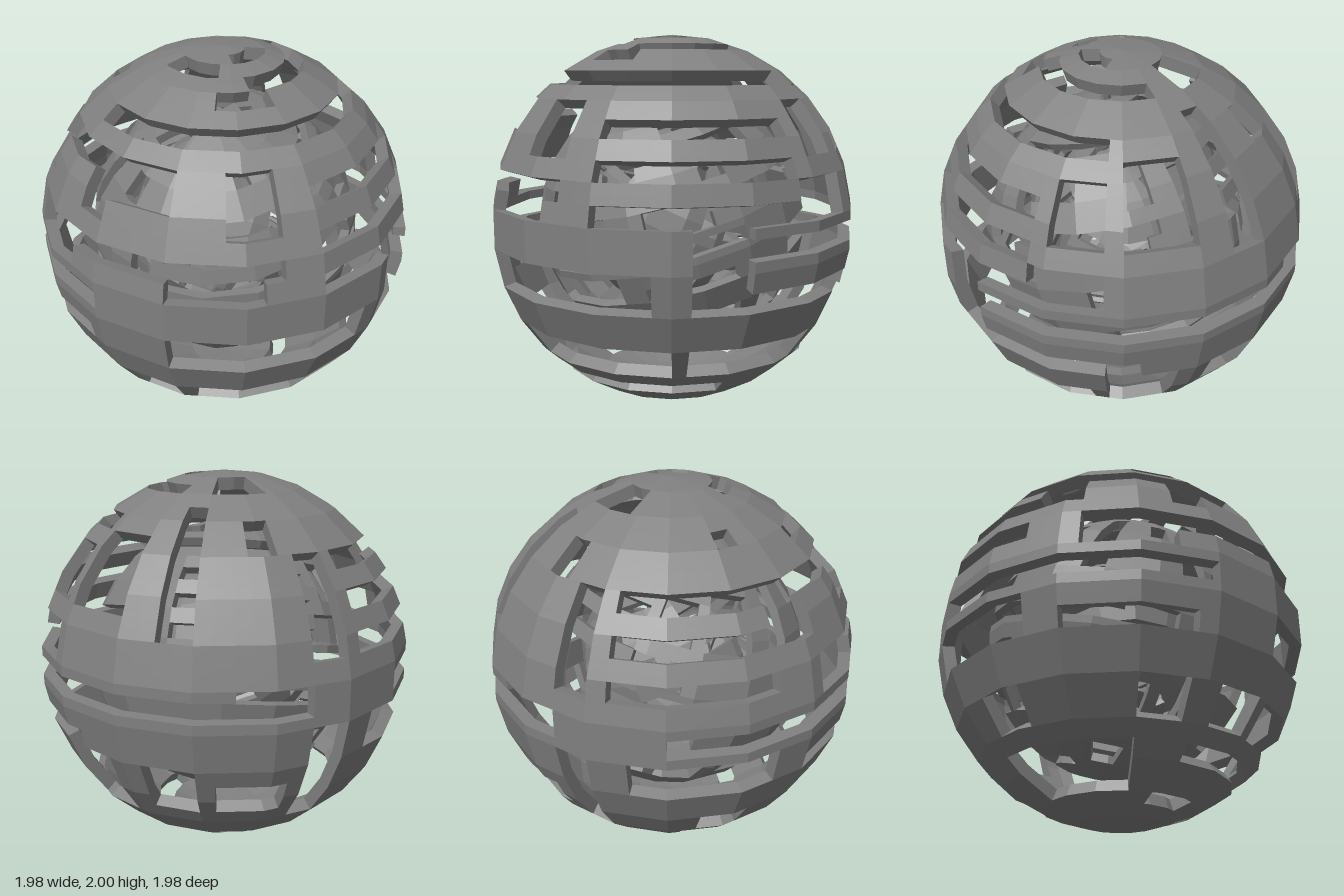
import * as THREE from 'three';

const SIDES = 16, TURN = -5.9, STEP = 360 / SIDES; // facets around the sphere
const BAND = 12;                                   // facet height in degrees of latitude
const ROWS = 60, COLS = 64;                        // carving grid
const RAD = Math.PI / 180;

// Openings cut in the shell, in degrees; azimuth 0 = front, 90 = +x
const cuts = [];
const cut = (bottom, top, start, end) => cuts.push({ bottom, top, start, end });

// Cap slots
cut(78, 84, 45, 130);
cut(72, 78, -35, 28);
cut(66, 72, 50, 175);
cut(66, 78, 196, 238);
cut(60, 66, 30, 62);
cut(54, 60, 284, 300);
// Long slot under the cap, narrow slits down the back
cut(48, 54, -28, 145);
cut(18, 60, 184, 196);
cut(12, 42, 229, 241);
// Tall windows in the upper half
for (const az of [-60, 35, 130]) cut(24, 42, az, az + 17);
cut(24, 48, 152, 174);
cut(42, 54, 212, 226);
cut(36, 42, -45, -16);
cut(30, 42, -16, 17);
cut(24, 30, -16, -5);
// Stacked side slots, right and left
for (let lat = 6; lat < 42; lat += BAND) {
  cut(lat, lat + 6, 60, 122);
  cut(lat + 6, lat + 12, 250, 300);
}
// Front slot above the equator with a drop at each end
cut(12, 18, -45, 48);
for (const az of [-45, 18]) cut(6, 12, az, az + 27);
cut(6, 18, 124, 146);
// Equator slots
cut(-3, 3, -95, -6);
cut(-3, 3, 107, 208);
cut(-3, 6, 208, 230);
cut(-18, 6, 92, 107);
// Slots below the equator
cut(-18, -6, 17, 80);
cut(-18, -12, 107, 155);
cut(-18, -12, -50, -14);
cut(-18, -6, 255, 298);
cut(-42, -18, 147, 168);
cut(-36, -18, 180, 196);
cut(-42, -6, 229, 241);
// Lower windows
cut(-36, -24, 200, 222);
for (const az of [-85, -28, 1]) cut(-42, -30, az, az + 17);
cut(-42, -30, 21, 84);
cut(-42, -30, 92, 140);
// Bottom slots
cut(-66, -48, 270, 332);
cut(-54, -48, -6, 108);
cut(-66, -54, 205, 225);
cut(-72, -66, -10, 30);
cut(-72, -66, 72, 180);

const isOpen = (lat, az) => cuts.some(c => lat > c.bottom && lat < c.top &&
  THREE.MathUtils.euclideanModulo(az - c.start, 360) < c.end - c.start);

// Point on the faceted sphere: corners lie on the sphere, everything between is flat
function facetPoint(lat, az) {
  const i = Math.min(180 / BAND - 1, Math.floor((lat + 90) / BAND + 1e-6));
  const j = Math.floor((az - TURN) / STEP + 1e-6);
  const corner = (m, n) => new THREE.Vector3().setFromSphericalCoords(
    1, Math.PI - m * BAND * RAD, (TURN + n * STEP) * RAD);
  const u = (az - TURN) / STEP - j, v = (lat + 90) / BAND - i;
  const low = corner(i, j).lerp(corner(i, j + 1), u);
  return low.lerp(corner(i + 1, j).lerp(corner(i + 1, j + 1), u), v);
}

// Thick shell made of every closed cell, with side walls around the openings
function carvedShell(inner) {
  const dLat = 180 / ROWS, dAz = 360 / COLS, pos = [];
  const solid = (i, j) => i < 0 || i >= ROWS ||
    !isOpen(-90 + (i + 0.5) * dLat, TURN + (j + 0.5) * dAz);
  const tri = (a, b, c) => {
    const area = b.clone().sub(a).cross(c.clone().sub(a)).length();
    if (area > 1e-9) pos.push(...a.toArray(), ...b.toArray(), ...c.toArray());
  };
  const quad = (a, b, c, d) => { tri(a, b, c); tri(a, c, d); };
  for (let i = 0; i < ROWS; i++) {
    for (let j = 0; j < COLS; j++) {
      if (!solid(i, j)) continue;
      const out = [[0, 0], [0, 1], [1, 1], [1, 0]].map(([m, n]) =>
        facetPoint(-90 + (i + m) * dLat, TURN + (j + n) * dAz));
      const inn = out.map(p => p.clone().multiplyScalar(inner));
      quad(...out);
      quad(inn[3], inn[2], inn[1], inn[0]);
      [[-1, 0], [0, 1], [1, 0], [0, -1]].forEach(([m, n], k) => {
        if (solid(i + m, j + n)) return;
        const q = (k + 1) % 4;
        quad(inn[k], inn[q], out[q], out[k]);
      });
    }
  }
  const geo = new THREE.BufferGeometry();
  geo.setAttribute('position', new THREE.Float32BufferAttribute(pos, 3));
  geo.computeVertexNormals();
  return geo;
}

export function createModel() {
  const group = new THREE.Group();
  group.name = 'nestedCarvedSphere';
  const material = new THREE.MeshStandardMaterial({ color: 0x808080, flatShading: true });
  const shell = carvedShell(0.935);

  // Nested shells, each smaller and turned against the one outside it
  const layers = [
    ['outerShell', 1, [0, 0, 0]],
    ['middleShell', 0.73, [0.15, 2.1, 0.12]],
    ['innerShell', 0.5, [-0.2, 4, 0.25]],
  ];
  for (const [name, size, turn] of layers) {
    const mesh = new THREE.Mesh(shell, material);
    mesh.name = name;
    mesh.scale.setScalar(size);
    mesh.rotation.set(...turn);
    mesh.position.y = 1;
    group.add(mesh);
  }
  return group;
}
